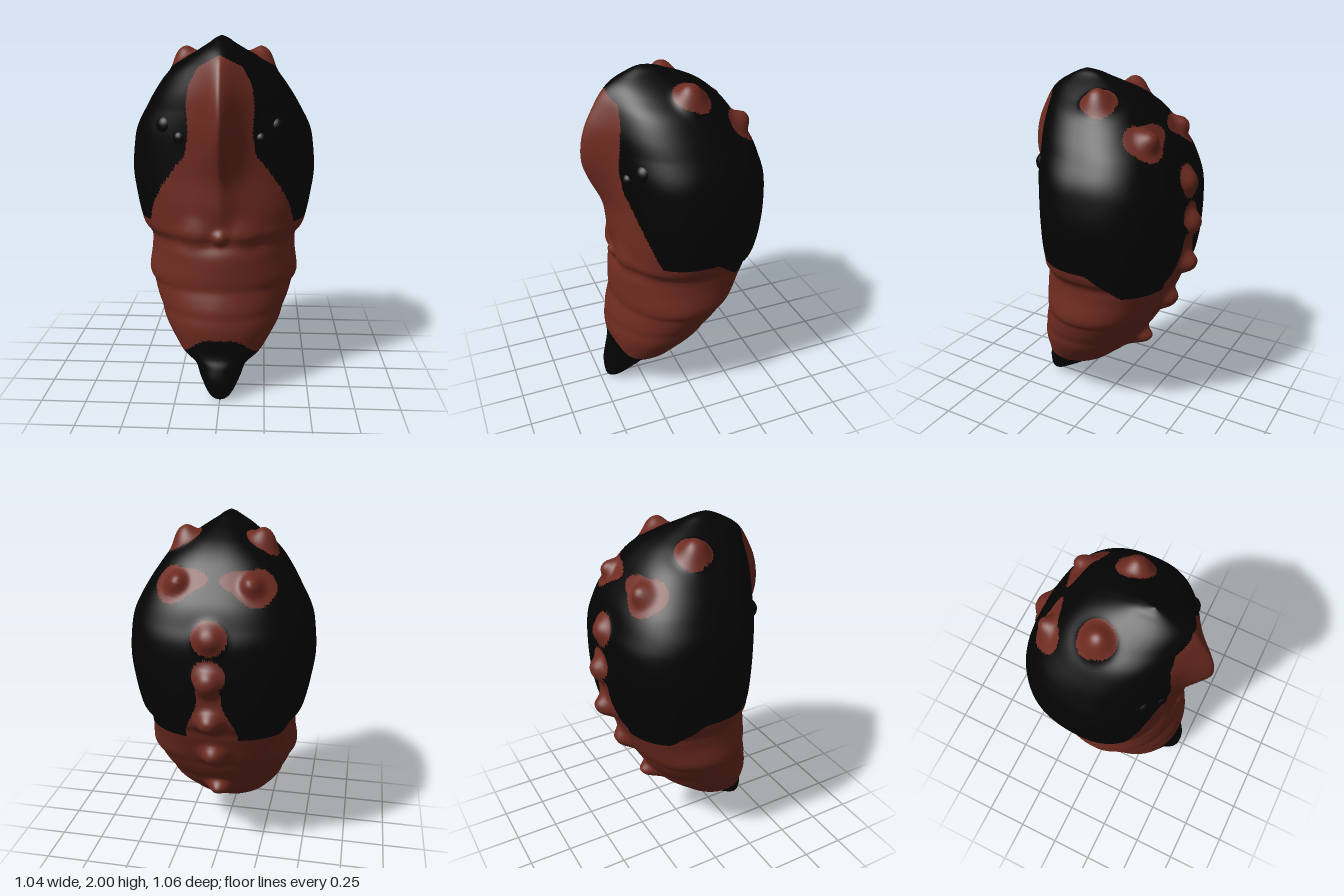
import * as THREE from 'three';

const red = new THREE.MeshStandardMaterial({ color: 0x6e2b20 });
red.name = 'rust red';
const black = new THREE.MeshStandardMaterial({ color: 0x030303 });
black.name = 'black';

const { smoothstep, mapLinear, clamp } = THREE.MathUtils;

// Body sections from tail to crown: height, half width, front z, back z, keel height
const SECTIONS = [
  [0, 0, 0.43, 0.43, 0], [0.015, 0.04, 0.458, 0.39, 0], [0.05, 0.075, 0.468, 0.33, 0],
  [0.12, 0.115, 0.47, 0.22, 0], [0.19, 0.15, 0.455, 0.12, 0], [0.24, 0.225, 0.435, 0.03, 0],
  [0.3, 0.27, 0.43, -0.04, 0], [0.4, 0.33, 0.44, -0.15, 0], [0.5, 0.37, 0.435, -0.22, 0],
  [0.6, 0.405, 0.41, -0.28, 0], [0.66, 0.435, 0.405, -0.31, 0], [0.8, 0.42, 0.4, -0.37, 0],
  [0.88, 0.428, 0.38, -0.405, 0], [0.94, 0.462, 0.38, -0.43, 0], [1.0, 0.48, 0.37, -0.445, 0.015],
  [1.1, 0.5, 0.37, -0.46, 0.035], [1.25, 0.52, 0.365, -0.465, 0.06], [1.4, 0.51, 0.372, -0.46, 0.12],
  [1.5, 0.49, 0.378, -0.43, 0.147], [1.6, 0.44, 0.382, -0.39, 0.143], [1.7, 0.38, 0.38, -0.32, 0.12],
  [1.8, 0.305, 0.36, -0.245, 0.09], [1.87, 0.21, 0.34, -0.165, 0.065], [1.92, 0.135, 0.315, -0.07, 0.035],
  [1.96, 0.07, 0.265, 0.03, 0.015], [1.985, 0.035, 0.225, 0.1, 0], [2, 0, 0.18, 0.18, 0],
];

// Raised knobs: mirrored side pairs, the row down the back, the chest
const BUMPS = [
  { at: [0.21, 1.84, -0.01], push: [0.015, 0.075, 0], r: 0.075 },
  { at: [0.2, 1.69, -0.29], push: [0, 0.03, -0.045], r: 0.055 },
  { at: [0, 1.45, -0.44], push: [0, 0.01, -0.045], r: 0.07 },
  { at: [0, 1.21, -0.46], push: [0, 0.01, -0.063], r: 0.072 },
  { at: [0, 0.97, -0.435], push: [0, 0, -0.075], r: 0.068 },
  { at: [0, 0.71, -0.335], push: [0, 0, -0.07], r: 0.07 },
  { at: [0, 0.41, -0.158], push: [0, 0, -0.082], r: 0.065 },
  { at: [0, 0.93, 0.38], push: [0, -0.005, 0.028], r: 0.038 },
  { at: [0.14, 0.95, 0.36], push: [0, 0, 0.018], r: 0.08 },
];

// Red spots on the black upper shell: centre and radius
const SPOTS = [
  [0.195, 1.84, -0.01, 0.103], [0.215, 1.815, -0.03, 0.085], [0.21, 1.67, -0.29, 0.1],
  [0.235, 1.69, -0.26, 0.09], [0.17, 1.7, -0.3, 0.085], [0.125, 1.72, -0.31, 0.065],
  [0.085, 1.725, -0.315, 0.05], [0.06, 1.73, -0.32, 0.035],
  [0, 1.45, -0.44, 0.095], [0, 1.25, -0.46, 0.09],
];

// Half width of the red face band at each height
const FACE = [[1, 0.4], [1.1, 0.375], [1.2, 0.325], [1.3, 0.255], [1.38, 0.19], [1.5, 0.17],
  [1.65, 0.18], [1.75, 0.165], [1.84, 0.115], [1.9, 0]];

function faceWidth(y) {
  for (let i = 1; i < FACE.length; i++) {
    const [y0, w0] = FACE[i - 1], [y1, w1] = FACE[i];
    if (y <= y1) return mapLinear(Math.max(y, y0), y0, y1, w0, w1);
  }
  return 0;
}

function isRed(x, y, z) {
  const ax = Math.abs(x);
  // tail tip, raised at the front and notched at the middle of the back
  const front = smoothstep(z, 0.1, 0.38), back = smoothstep(-z, -0.12, 0);
  const tip = 0.245 + 0.11 * front * Math.exp(-((ax / 0.17) ** 4))
    + back * (0.035 - 0.1 * Math.exp(-((ax / 0.1) ** 2)));
  if (y < tip) return false;
  // lower edge of the shell
  if (y < 0.845 + 0.145 * smoothstep(z, -0.25, -0.06)) return true;
  // face band and back strip
  if (z > 0.1 && ax < faceWidth(y)) return true;
  if (z < -0.2 && y < 1.22 && ax < 0.065 + 0.08 * smoothstep(1.12 - y, 0, 0.25)) return true;
  return SPOTS.some(([sx, sy, sz, r]) => Math.hypot(ax - sx, y - sy, z - sz) < r);
}

// Smooth curve through the sections
function sectionAt(t) {
  const i = Math.min(Math.floor(t), SECTIONS.length - 2), f = t - i;
  const get = (k) => SECTIONS[clamp(k, 0, SECTIONS.length - 1)];
  const [a, b, c, d] = [get(i - 1), get(i), get(i + 1), get(i + 2)];
  return b.map((v, k) => v + 0.5 * f * (c[k] - a[k]
    + f * (2 * a[k] - 5 * v + 4 * c[k] - d[k] + f * (3 * (v - c[k]) + d[k] - a[k]))));
}

function bodyGeometry() {
  const cols = 330, rows = (SECTIONS.length - 1) * 8;
  const pos = [], base = [];
  for (let r = 0; r <= rows; r++) {
    const [y, w, zf, zb, keel] = sectionAt(r / 8);
    const mid = Math.max((zf + zb) / 2, 0);
    // squareness of the front and back halves
    const nFront = 2.15 - 0.3 * smoothstep(y, 0.3, 0.55) + 0.35 * smoothstep(y, 0.75, 1.05);
    const nBack = 2 + 0.55 * smoothstep(y, 0.2, 1);
    // creases between the abdomen rings
    let ring = 1;
    for (const c of [0.47, 0.63, 0.885]) ring -= 0.014 * Math.exp(-(((y - c) / 0.035) ** 2));
    for (let c = 0; c < cols; c++) {
      const a = (c / cols) * Math.PI * 2, s = Math.sin(a), k = Math.cos(a);
      const n = k < 0 ? nBack : nFront;
      const rad = ring / (Math.abs(s) ** n + Math.abs(k) ** n) ** (1 / n);
      const x = w * s * rad;
      let z = mid + (k < 0 ? mid - zb : zf - mid) * k * rad;
      // ridge down the middle of the face
      if (k > 0) z += keel * Math.exp(-((Math.abs(x) / 0.093) ** 1.5)) * Math.min(1, k * 2);
      base.push([x, y, z]);
      const p = [x, y, z];
      for (const { at, push, r: br } of BUMPS) {
        const d = Math.hypot(Math.abs(x) - at[0], y - at[1], z - at[2]) / br;
        const g = Math.exp(-(d ** 3));
        p[0] += push[0] * g * Math.sign(x);
        p[1] += push[1] * g;
        p[2] += push[2] * g;
      }
      pos.push(...p);
    }
  }
  // sort the faces into two colour groups
  const faces = [[], []];
  const add = (...tri) => {
    const m = [0, 1, 2].map((k) => tri.reduce((sum, v) => sum + base[v][k], 0) / 3);
    faces[isRed(...m) ? 0 : 1].push(...tri);
  };
  for (let r = 0; r < rows; r++) {
    for (let c = 0; c < cols; c++) {
      const a = r * cols + c, b = r * cols + ((c + 1) % cols);
      add(a, b, a + cols);
      add(b, b + cols, a + cols);
    }
  }
  const g = new THREE.BufferGeometry();
  g.setAttribute('position', new THREE.Float32BufferAttribute(pos, 3));
  g.setIndex(faces[0].concat(faces[1]));
  g.addGroup(0, faces[0].length, 0);
  g.addGroup(faces[0].length, faces[1].length, 1);
  g.computeVertexNormals();
  return g;
}

export function createModel() {
  const model = new THREE.Group();
  model.name = 'chrysalis';

  const body = new THREE.Mesh(bodyGeometry(), [red, black]);
  body.name = 'body';
  model.add(body);

  // small eye knobs either side of the face band
  const knob = new THREE.SphereGeometry(1, 24, 16);
  for (const side of [1, -1]) {
    const name = side > 0 ? 'left' : 'right';
    for (const [part, x, y, z, r] of [['Eye', 0.295, 1.53, 0.27, 0.055], ['LowerEye', 0.215, 1.47, 0.333, 0.038]]) {
      const eye = new THREE.Mesh(knob, black);
      eye.name = name + part;
      eye.position.set(side * x, y, z);
      eye.scale.setScalar(r);
      model.add(eye);
    }
  }
  return model;
}
